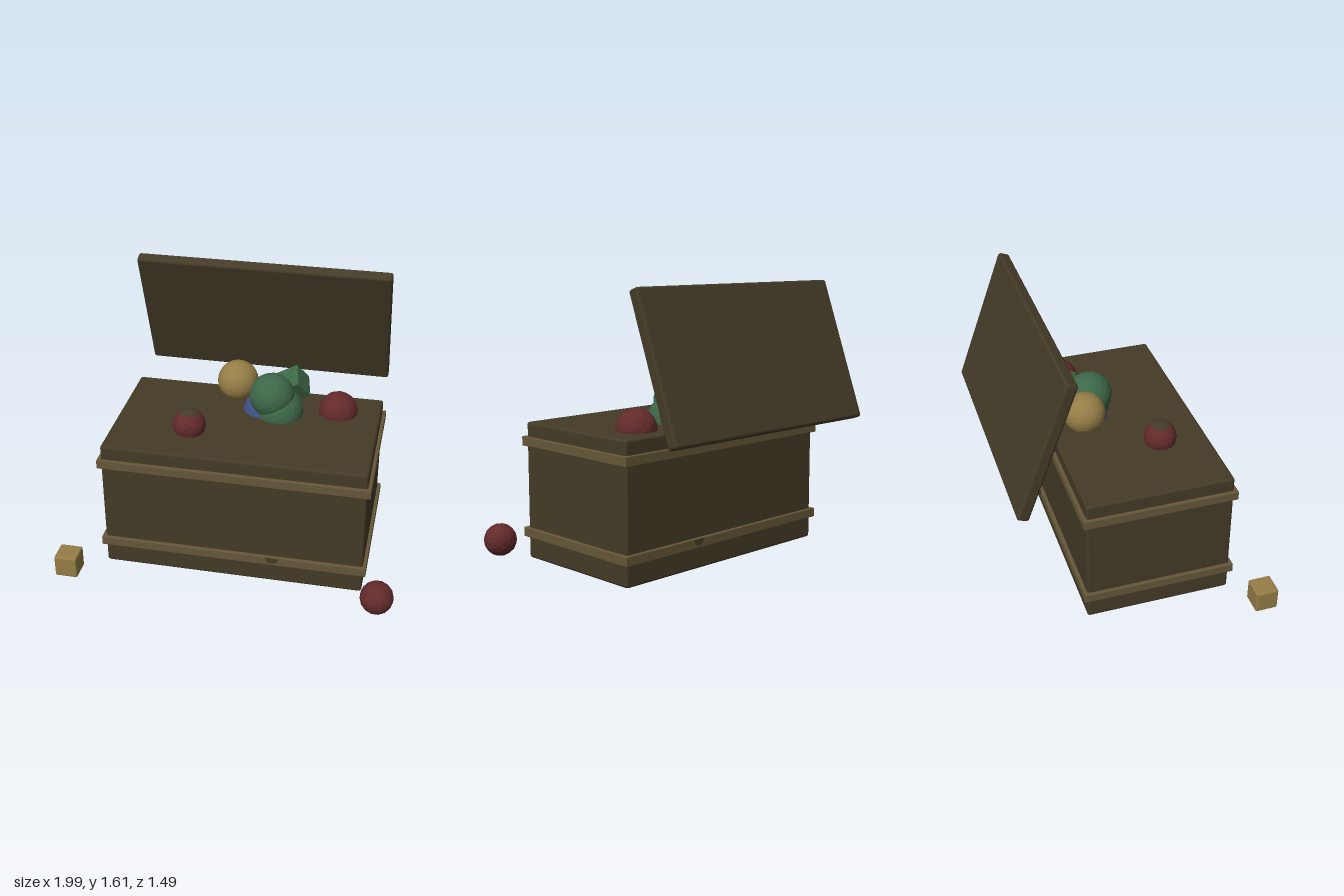
import * as THREE from 'three';
import { RoundedBoxGeometry } from 'three/addons/geometries/RoundedBoxGeometry.js';

function material(name, color, flatShading = false) {
  const m = new THREE.MeshStandardMaterial({ color, flatShading });
  m.name = name;
  return m;
}

export function createModel() {
  const group = new THREE.Group();
  group.name = 'toyChest';
  const wood = material('darkWood', 0x443b27);
  const trim = material('trimWood', 0x655739);
  const red = material('red', 0x632a2b, true);
  const gold = material('gold', 0x957d46, true);
  const green = material('green', 0x3d6748, true);
  const blue = material('blue', 0x405086, true);

  function add(name, geometry, mat, x, y, z) {
    const mesh = new THREE.Mesh(geometry, mat);
    mesh.name = name;
    mesh.position.set(x, y, z);
    group.add(mesh);
    return mesh;
  }
  const box = (w, h, d, r) => new RoundedBoxGeometry(w, h, d, 2, r);
  const ball = (name, r, mat, x, y, z, detail = 2) =>
    add(name, new THREE.IcosahedronGeometry(r, detail), mat, x, y, z);

  // Chest body and raised, floating lid
  add('chestBody', box(1.54, 0.81, 0.865, 0.016), wood, 0.03, 0.405, 0.07);
  const lid = add('lid', box(1.54, 0.855, 0.07, 0.016), wood, 0.03, 1.203, -0.566);
  lid.rotation.x = 0.35;

  // Bands wrapped around the body
  for (const [name, y] of [['lowerBand', 0.157], ['upperBand', 0.698]]) {
    add(name, box(1.58, 0.055, 0.905, 0.004), trim, 0.03, y, 0.07);
  }

  // Half-round dark marks on the lower band, front and back
  for (const side of [1, -1]) {
    const mark = new THREE.CircleGeometry(0.039, 12, Math.PI, Math.PI);
    const mesh = add(side > 0 ? 'frontMark' : 'backMark', mark, wood, 0.272, 0.182, 0.07 + side * 0.4545);
    if (side < 0) mesh.rotation.y = Math.PI;
  }

  // Toys in the chest
  ball('goldBall', 0.123, gold, -0.07, 0.955, -0.175, 4);
  ball('upperGreenBall', 0.136, green, 0.155, 0.925, -0.08, 3);
  ball('lowerGreenBall', 0.145, green, 0.2, 0.825, -0.09, 3);
  ball('blueBall', 0.128, blue, 0.105, 0.795, -0.115, 3);
  ball('sideRedBall', 0.118, red, 0.545, 0.818, -0.165);
  ball('frontRedBall', 0.097, red, -0.28, 0.848, 0.22);
  const cap = new THREE.SphereGeometry(0.098, 16, 4, 0, Math.PI * 2, 0, 0.62);
  add('frontRedBallCap', cap, wood, -0.28, 0.848, 0.22);
  const block = add('greenBlock', box(0.145, 0.145, 0.145, 0.006), green, 0.262, 0.938, -0.22);
  block.rotation.set(0.45, 0.2, 0.5);

  // Toys on the floor
  add('goldBlock', box(0.135, 0.135, 0.135, 0.01), gold, -0.932, 0.07, 0.645);
  ball('floorRedBall', 0.097, red, 0.9, 0.098, 0.65);

  return group;
}
